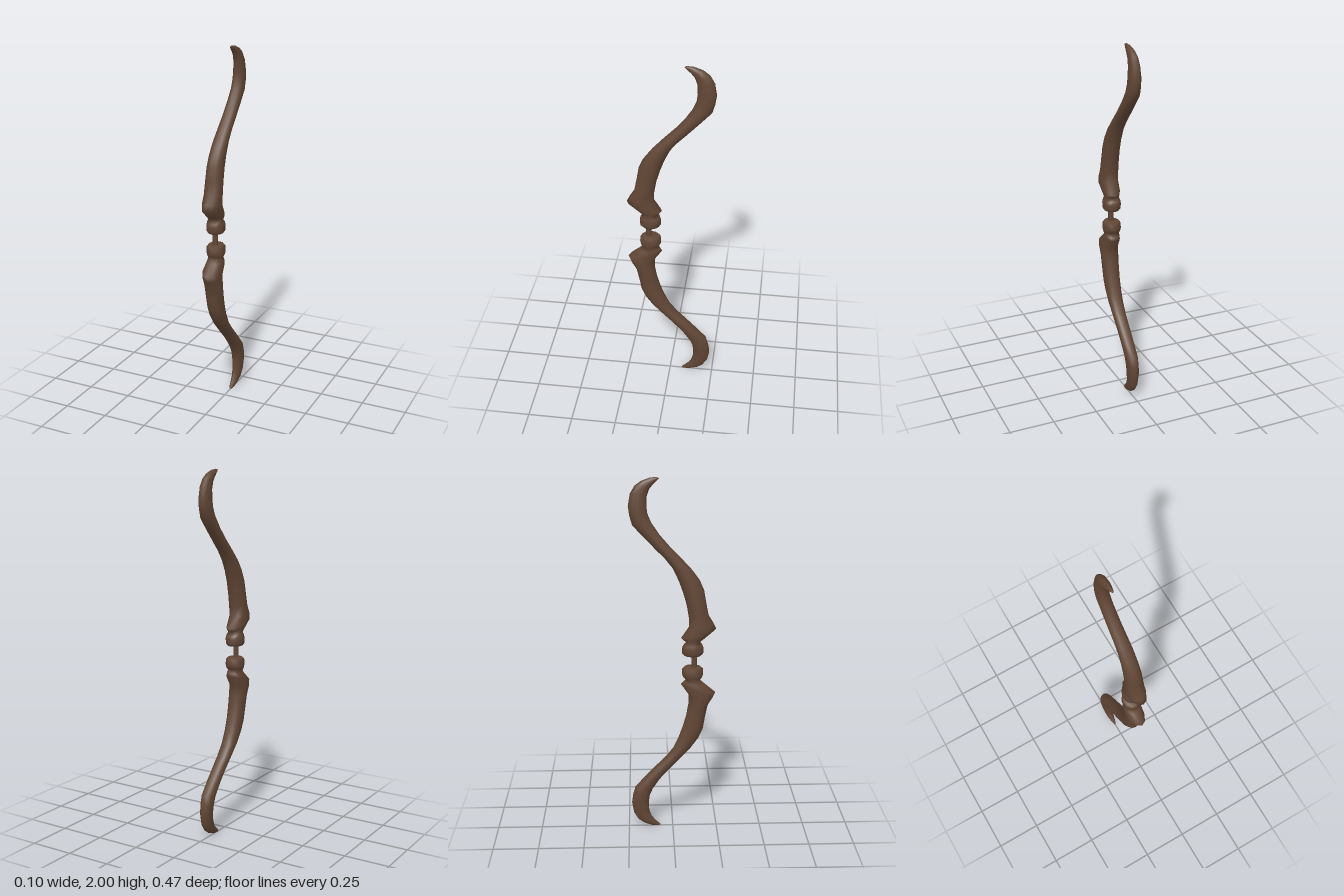
import * as THREE from 'three';

const wood = new THREE.MeshStandardMaterial({ color: 0x614635 });
wood.name = 'dark brown wood';

const SIDES = 12;

// Limb cross-sections: front z, front y, back z, back y, half width
const COLLAR = [
  [0.108, 1.034, 0.108, 1.034, 0],
  [0.155, 1.034, 0.061, 1.034, 0.041],
  [0.166, 1.045, 0.051, 1.045, 0.049],
  [0.167, 1.075, 0.05, 1.075, 0.05],
  [0.160, 1.095, 0.057, 1.092, 0.047],
  [0.147, 1.112, 0.075, 1.105, 0.042],
];
const LIMB = [
  [0.172, 1.13, 0.058, 1.119, 0.045],
  [0.235, 1.183, 0.045, 1.133, 0.05],
  [0.22, 1.215, 0.087, 1.195, 0.05],
  [0.193, 1.26, 0.086, 1.25, 0.049],
  [0.179, 1.33, 0.074, 1.32, 0.047],
  [0.167, 1.40, 0.055, 1.386, 0.045],
  [0.143, 1.455, 0.032, 1.45, 0.043],
  [0.103, 1.51, 0, 1.518, 0.041],
  [0.045, 1.574, -0.041, 1.57, 0.038],
  [-0.02, 1.642, -0.09, 1.62, 0.036],
  [-0.072, 1.703, -0.15, 1.683, 0.035],
  [-0.114, 1.767, -0.212, 1.75, 0.034],
  [-0.132, 1.81, -0.226, 1.80, 0.033],
  [-0.137, 1.85, -0.233, 1.85, 0.031],
  [-0.135, 1.90, -0.222, 1.915, 0.027],
  [-0.122, 1.938, -0.198, 1.956, 0.023],
  [-0.102, 1.963, -0.165, 1.98, 0.019],
  [-0.08, 1.983, -0.12, 1.997, 0.012],
  [-0.07, 1.993, -0.085, 2.0, 0.006],
  [-0.073, 1.997, -0.073, 1.997, 0],
];

// Loft of oval rings; sign -1 mirrors it about the middle height
function loft(rows, sign) {
  const pos = [], idx = [];
  rows.forEach(([zf, yf, zb, yb, w], i) => {
    for (let j = 0; j < SIDES; j++) {
      const a = (j / SIDES) * Math.PI * 2, s = (1 + Math.sin(a)) / 2;
      const y = yb + (yf - yb) * s;
      pos.push(w * Math.cos(a), 1 + sign * (y - 1), zb + (zf - zb) * s);
      if (i === rows.length - 1) continue;
      const p = i * SIDES + j, q = i * SIDES + ((j + 1) % SIDES);
      const r = p + SIDES, t = q + SIDES;
      if (sign > 0) idx.push(p, r, q, q, r, t);
      else idx.push(p, q, r, q, t, r);
    }
  });
  const geo = new THREE.BufferGeometry();
  geo.setAttribute('position', new THREE.Float32BufferAttribute(pos, 3));
  geo.setIndex(idx);
  geo.computeVertexNormals();
  return geo;
}

export function createModel() {
  const model = new THREE.Group();
  model.name = 'bow';

  // Two mirrored limbs, each with its rounded collar
  for (const [name, sign] of [['upperLimb', 1], ['lowerLimb', -1]]) {
    const limb = new THREE.Mesh(loft([...COLLAR, ...LIMB], sign), wood);
    limb.name = name;
    model.add(limb);
  }

  // Thin pin joining the collars
  const pin = new THREE.Mesh(new THREE.CylinderGeometry(0.015, 0.015, 0.09, 12), wood);
  pin.name = 'joiningPin';
  pin.position.set(0, 1, 0.118);
  model.add(pin);

  return model;
}
